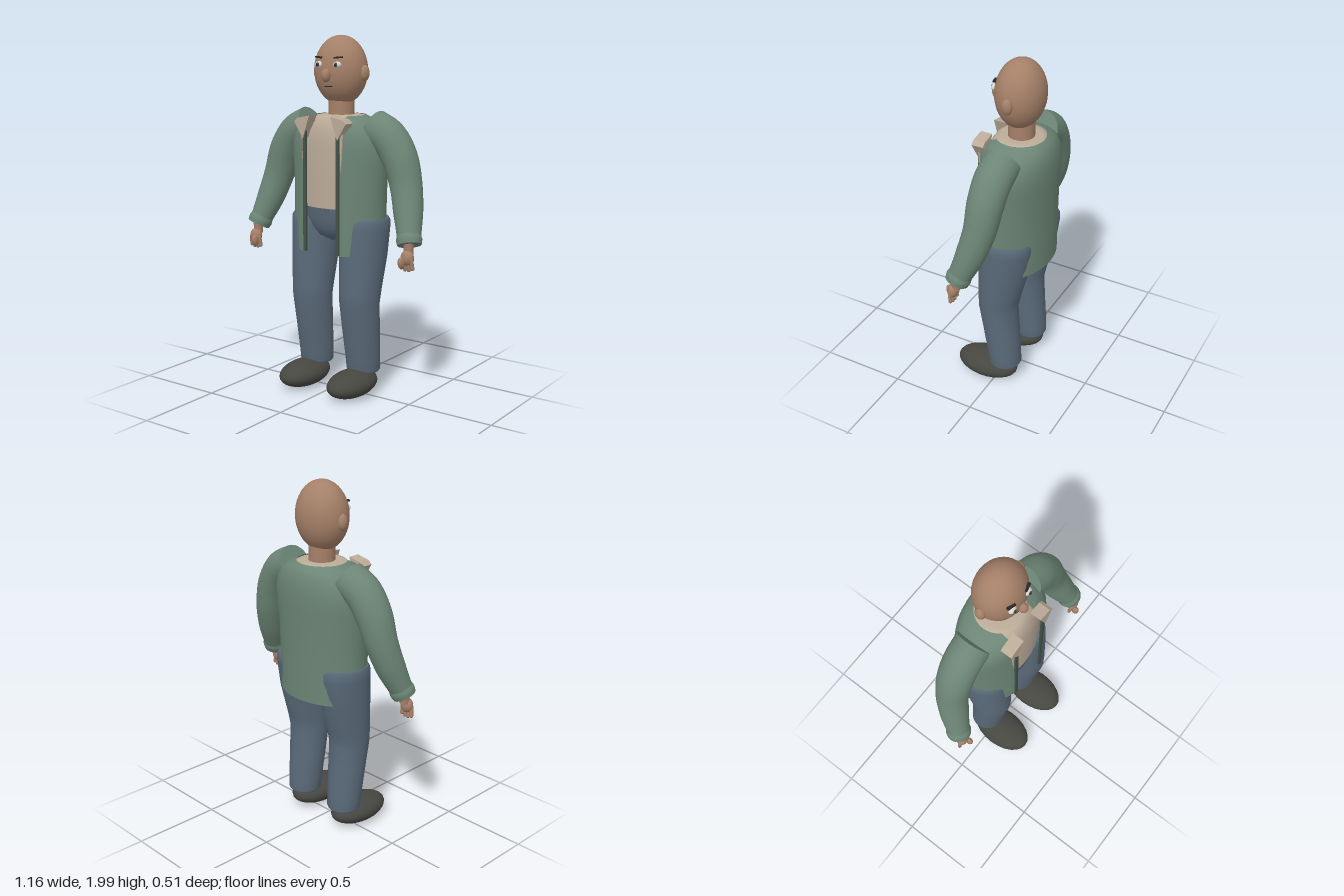
import * as THREE from 'three';

const mat = (name, color, side = THREE.FrontSide) => {
  const m = new THREE.MeshStandardMaterial({ color, side });
  m.name = name;
  return m;
};

// Rings are { c, u, v, rx, rz }; gap leaves an opening of that half width in front.
function loft(rings, { seg = 32, gap = 0, capStart = false, capEnd = false } = {}) {
  const pos = [], idx = [], n = gap ? seg + 1 : seg;
  const addRing = (r) => {
    const first = pos.length / 3;
    const a0 = gap ? Math.asin(Math.min(1, gap / r.rx)) : 0;
    for (let j = 0; j < n; j++) {
      const a = a0 + (j / seg) * (Math.PI * 2 - 2 * a0);
      const p = r.c.clone().addScaledVector(r.u, Math.sin(a) * r.rx).addScaledVector(r.v, Math.cos(a) * r.rz);
      pos.push(p.x, p.y, p.z);
    }
    return first;
  };
  rings.forEach(addRing);
  for (let i = 0; i < rings.length - 1; i++) {
    for (let j = 0; j < seg; j++) {
      const k = (j + 1) % n, a = i * n + j, b = i * n + k, c = b + n, d = a + n;
      idx.push(a, b, c, a, c, d);
    }
  }
  const cap = (r, flip) => {
    const f = addRing(r), m = pos.length / 3;
    pos.push(r.c.x, r.c.y, r.c.z);
    for (let j = 0; j < seg; j++) {
      const k = (j + 1) % n;
      idx.push(m, f + (flip ? k : j), f + (flip ? j : k));
    }
  };
  if (capStart) cap(rings[0], true);
  if (capEnd) cap(rings[rings.length - 1], false);
  const g = new THREE.BufferGeometry();
  g.setAttribute('position', new THREE.Float32BufferAttribute(pos, 3));
  g.setIndex(idx);
  g.computeVertexNormals();
  return g;
}

// Level cross-sections from [x, y, z, rx, rz], bottom to top
const level = (rows) => rows.map(([x, y, z, rx, rz]) => ({
  c: new THREE.Vector3(x, y, z), u: new THREE.Vector3(1, 0, 0), v: new THREE.Vector3(0, 0, 1), rx, rz,
}));

// Cross-sections square to a smooth path through [x, y, z, radius]
function along(rows, steps) {
  const curve = new THREE.CatmullRomCurve3(rows.map((r) => new THREE.Vector3(r[0], r[1], r[2])));
  const out = [];
  for (let i = 0; i <= steps; i++) {
    const t = i / steps, f = t * (rows.length - 1), k = Math.min(Math.floor(f), rows.length - 2);
    const dir = curve.getTangent(t);
    const u = new THREE.Vector3(0, 0, 1).addScaledVector(dir, -dir.z).normalize();
    const r = THREE.MathUtils.lerp(rows[k][3], rows[k + 1][3], f - k);
    out.push({ c: curve.getPoint(t), u, v: u.clone().cross(dir), rx: r, rz: r });
  }
  return out;
}

export function createModel() {
  const skin = mat('skin', 0xa58068);
  const jacketGreen = mat('jacket green', 0x6c8575, THREE.DoubleSide);
  const trimGreen = mat('trim green', 0x435248);
  const cream = mat('shirt cream', 0xbcac99, THREE.DoubleSide);
  const denim = mat('denim', 0x5a6a79, THREE.DoubleSide);
  const leather = mat('shoe leather', 0x474742);
  const white = mat('eye white', 0xd8d6d0);
  const dark = mat('dark hair', 0x2b2522);
  const iris = mat('iris', 0x40484c);

  const model = new THREE.Group();
  const add = (parent, name, geo, material, p = [0, 0, 0], s = [1, 1, 1], rot = [0, 0, 0]) => {
    const m = new THREE.Mesh(geo, material);
    m.name = name;
    m.position.set(...p);
    m.scale.set(...s);
    m.rotation.set(...rot);
    parent.add(m);
    return m;
  };
  const ball = new THREE.SphereGeometry(1, 32, 24);
  const smallBall = new THREE.SphereGeometry(1, 16, 12);

  // Head and neck
  add(model, 'head', ball, skin, [0, 1.81, -0.058], [0.155, 0.19, 0.134]);
  add(model, 'neck', new THREE.CylinderGeometry(0.071, 0.073, 0.15, 24), skin, [0, 1.605, -0.062]);
  add(model, 'nose', smallBall, skin, [0, 1.785, 0.083], [0.025, 0.037, 0.027]);
  add(model, 'mouth', new THREE.BoxGeometry(0.05, 0.006, 0.008), dark, [0, 1.725, 0.058]);

  // Shirt, with its shoulders closing in around the neck
  add(model, 'shirt', loft(level([
    [0, 1.05, -0.055, 0.255, 0.165], [0, 1.2, -0.055, 0.255, 0.168], [0, 1.4, -0.06, 0.265, 0.176],
    [0, 1.49, -0.06, 0.235, 0.168], [0, 1.54, -0.06, 0.18, 0.15], [0, 1.565, -0.06, 0.135, 0.13],
    [0, 1.57, -0.06, 0.11, 0.11], [0, 1.57, -0.06, 0.06, 0.06],
  ]), { capStart: true }), cream);

  // Open jacket
  add(model, 'jacket', loft(level([
    [0, 0.81, -0.05, 0.28, 0.195], [0, 1.0, -0.05, 0.282, 0.195], [0, 1.2, -0.053, 0.286, 0.194],
    [0, 1.32, -0.058, 0.297, 0.196], [0, 1.4, -0.06, 0.3, 0.196], [0, 1.46, -0.06, 0.285, 0.192],
    [0, 1.51, -0.06, 0.25, 0.182], [0, 1.545, -0.06, 0.2, 0.165], [0, 1.568, -0.06, 0.14, 0.135],
  ]), { seg: 48, gap: 0.105 }), jacketGreen);

  // Seat of the trousers
  add(model, 'pelvis', loft(level([
    [0, 0.875, -0.05, 0.04, 0.08], [0, 0.9, -0.05, 0.12, 0.12], [0, 0.95, -0.05, 0.2, 0.145],
    [0, 1.0, -0.052, 0.24, 0.157], [0, 1.062, -0.055, 0.257, 0.168],
  ]), { capStart: true, capEnd: true }), denim);

  // Collar flap outline and its tail
  const flap = new THREE.Shape([[0.07, 1.57], [0.115, 1.445], [0.172, 1.535], [0.15, 1.555]].map((p) => new THREE.Vector2(...p)));
  const flapGeo = new THREE.ExtrudeGeometry(flap, { depth: 0.068, bevelEnabled: false });
  const tail = new THREE.Shape([[0.115, 1.48], [0.126, 1.26], [0.138, 1.48]].map((p) => new THREE.Vector2(...p)));
  const tailGeo = new THREE.ExtrudeGeometry(tail, { depth: 0.008, bevelEnabled: false });

  // Trouser leg
  const legGeo = loft(level([
    [0.163, 0.128, -0.05, 0.088, 0.088], [0.163, 0.14, -0.05, 0.096, 0.094], [0.163, 0.2, -0.045, 0.098, 0.097],
    [0.162, 0.38, -0.025, 0.107, 0.105], [0.163, 0.53, -0.008, 0.113, 0.113], [0.163, 0.6, -0.014, 0.118, 0.121],
    [0.164, 0.8, -0.042, 0.13, 0.146], [0.165, 0.95, -0.055, 0.135, 0.154], [0.166, 0.99, -0.057, 0.135, 0.153],
    [0.166, 1.01, -0.057, 0.125, 0.142],
  ]), { capStart: true, capEnd: true });

  // Sleeve and its turned cuff
  const sleeveGeo = loft(along([
    [0.21, 1.507, -0.066, 0.102], [0.31, 1.455, -0.064, 0.102], [0.385, 1.35, -0.06, 0.098],
    [0.432, 1.21, -0.05, 0.088], [0.47, 1.07, -0.014, 0.08], [0.513, 0.92, 0.043, 0.06],
  ], 28), { capStart: true, capEnd: true });
  const cuffGeo = loft(along([
    [0.501, 0.96, 0.028, 0.064], [0.509, 0.935, 0.037, 0.07], [0.517, 0.91, 0.046, 0.065],
  ], 6), { capStart: true, capEnd: true });
  const fingerGeo = new THREE.CapsuleGeometry(0.0105, 0.05, 4, 10);

  // Mirrored parts
  for (const [side, s] of [['left', 1], ['right', -1]]) {
    const half = new THREE.Group();
    half.name = side + 'Side';
    half.scale.x = s;
    model.add(half);

    add(half, 'ear', smallBall, skin, [0.156, 1.797, -0.06], [0.024, 0.044, 0.03]);
    add(half, 'eye', smallBall, white, [0.06, 1.842, 0.062], [0.025, 0.018, 0.018]);
    add(half, 'iris', smallBall, iris, [0.06, 1.842, 0.075], [0.012, 0.012, 0.008]);
    add(half, 'pupil', smallBall, dark, [0.06, 1.842, 0.081], [0.006, 0.006, 0.004]);
    add(half, 'eyebrow', new THREE.BoxGeometry(0.048, 0.009, 0.016), dark, [0.064, 1.881, 0.058], [1, 1, 1], [0, 0.25, 0.08]);

    add(half, 'collarFlap', flapGeo, cream, [0, 0, 0.075]);
    add(half, 'collarTail', tailGeo, cream, [0, 0, 0.115]);
    add(half, 'jacketEdge', new THREE.BoxGeometry(0.02, 0.68, 0.012), trimGreen, [0.11, 1.155, 0.129]);

    add(half, 'trouserLeg', legGeo, denim);
    add(half, 'shoe', new THREE.SphereGeometry(1, 24, 16), leather, [0.166, 0.08, 0.065], [0.115, 0.074, 0.189]);
    add(half, 'sleeve', sleeveGeo, jacketGreen);
    add(half, 'cuff', cuffGeo, jacketGreen);

    // Hand
    add(half, 'wrist', new THREE.CylinderGeometry(0.028, 0.026, 0.07, 16), skin, [0.515, 0.895, 0.052]);
    add(half, 'palm', smallBall, skin, [0.518, 0.845, 0.068], [0.038, 0.042, 0.03]);
    for (let i = 0; i < 4; i++) {
      const x = 0.486 + i * 0.021, mid = i === 1 || i === 2;
      add(half, 'finger', fingerGeo, skin, [x, mid ? 0.806 : 0.814, 0.072], [1, 1, 1], [0.12, 0, (i - 1.5) * 0.06]);
    }
    add(half, 'thumb', smallBall, skin, [0.5, 0.82, 0.1], [0.017, 0.034, 0.022], [0.25, 0, 0]);
  }
  return model;
}
